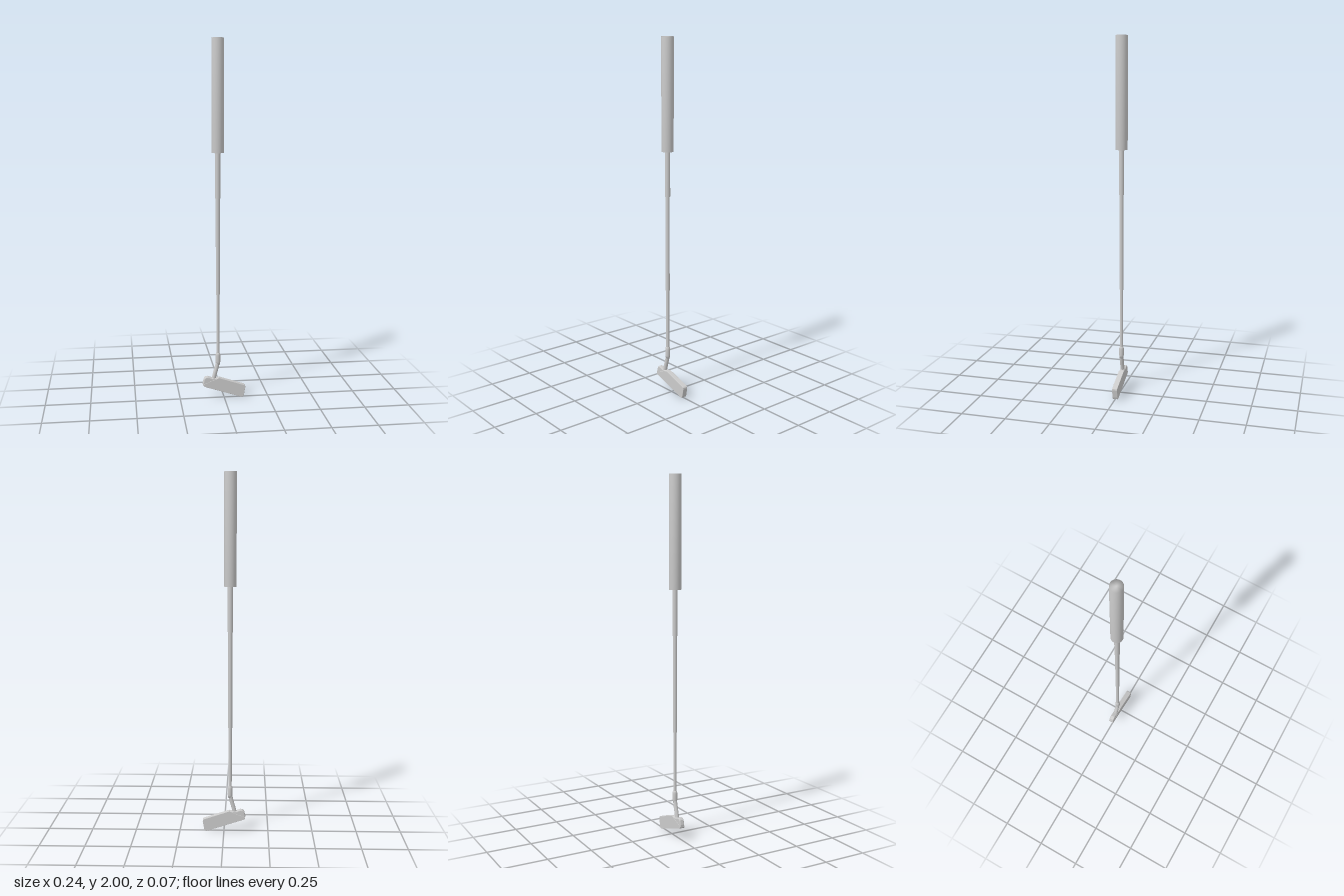
import * as THREE from 'three';

const AXIS_X = -0.035;

export function createModel() {
  const group = new THREE.Group();
  const material = new THREE.MeshStandardMaterial({ color: 0xcccccc });

  function add(name, geometry, x = 0, z = 0) {
    const mesh = new THREE.Mesh(geometry, material);
    mesh.name = name;
    mesh.position.set(x, 0, z);
    group.add(mesh);
  }

  // Turned part; the profile runs upwards so that faces point outwards
  const lathe = (pts) =>
    new THREE.LatheGeometry(pts.map(([r, y]) => new THREE.Vector2(r, y)), 32);

  // Side outline extruded across z, with a bevel kept inside the outline
  function slab(outline, depth, bevel, segments) {
    const shape = new THREE.Shape(outline.map(([x, y]) => new THREE.Vector2(x, y)));
    const geometry = new THREE.ExtrudeGeometry(shape, {
      depth: depth - 2 * bevel,
      bevelEnabled: true,
      bevelThickness: bevel,
      bevelSize: bevel,
      bevelOffset: -bevel,
      bevelSegments: segments,
    });
    return geometry.translate(0, 0, -depth / 2 + bevel);
  }

  // Handle grip, shaded smoothly over its ends
  add('grip', lathe([[0, 1.39], [0.0335, 1.39], [0.0335, 2], [0, 2]]), AXIS_X);

  // Stepped shaft, thinner towards the head
  add('shaft', lathe([
    [0.009, 0.22], [0.009, 0.598], [0.0115, 0.602],
    [0.0115, 1.138], [0.0145, 1.142], [0.0145, 1.4],
  ]), AXIS_X);

  // Collar where the shaft enters the neck
  add('collar', lathe([
    [0, 0.194], [0.011, 0.196], [0.0135, 0.212],
    [0.0135, 0.25], [0.012, 0.26], [0.009, 0.264],
  ]), AXIS_X);

  // Bent neck down to the heel of the head
  const neckPath = new THREE.CatmullRomCurve3([
    new THREE.Vector3(AXIS_X, 0.235, 0),
    new THREE.Vector3(AXIS_X - 0.001, 0.21, 0),
    new THREE.Vector3(-0.042, 0.18, 0),
    new THREE.Vector3(-0.052, 0.145, 0),
    new THREE.Vector3(-0.062, 0.105, 0),
  ]);
  add('neck', new THREE.TubeGeometry(neckPath, 24, 0.0115, 20));

  // Main blade with slightly softened corners
  add('blade', slab([
    [-0.121, 0.078], [-0.114, 0.07], [0.1, 0], [0.108, 0.004],
    [0.112, 0.014], [0.12, 0.058], [0.119, 0.066], [0.113, 0.071],
    [-0.03, 0.119], [-0.12, 0.084],
  ], 0.03, 0.0015, 2), 0, -0.001);

  // Rounded heel rising around the foot of the neck
  add('heel', slab([
    [-0.121, 0.08], [-0.06, 0.07], [-0.02, 0.09], [-0.032, 0.118],
    [-0.07, 0.118], [-0.082, 0.123], [-0.094, 0.127], [-0.106, 0.125],
    [-0.114, 0.117], [-0.121, 0.092],
  ], 0.028, 0.006, 4), 0, -0.001);

  return group;
}
